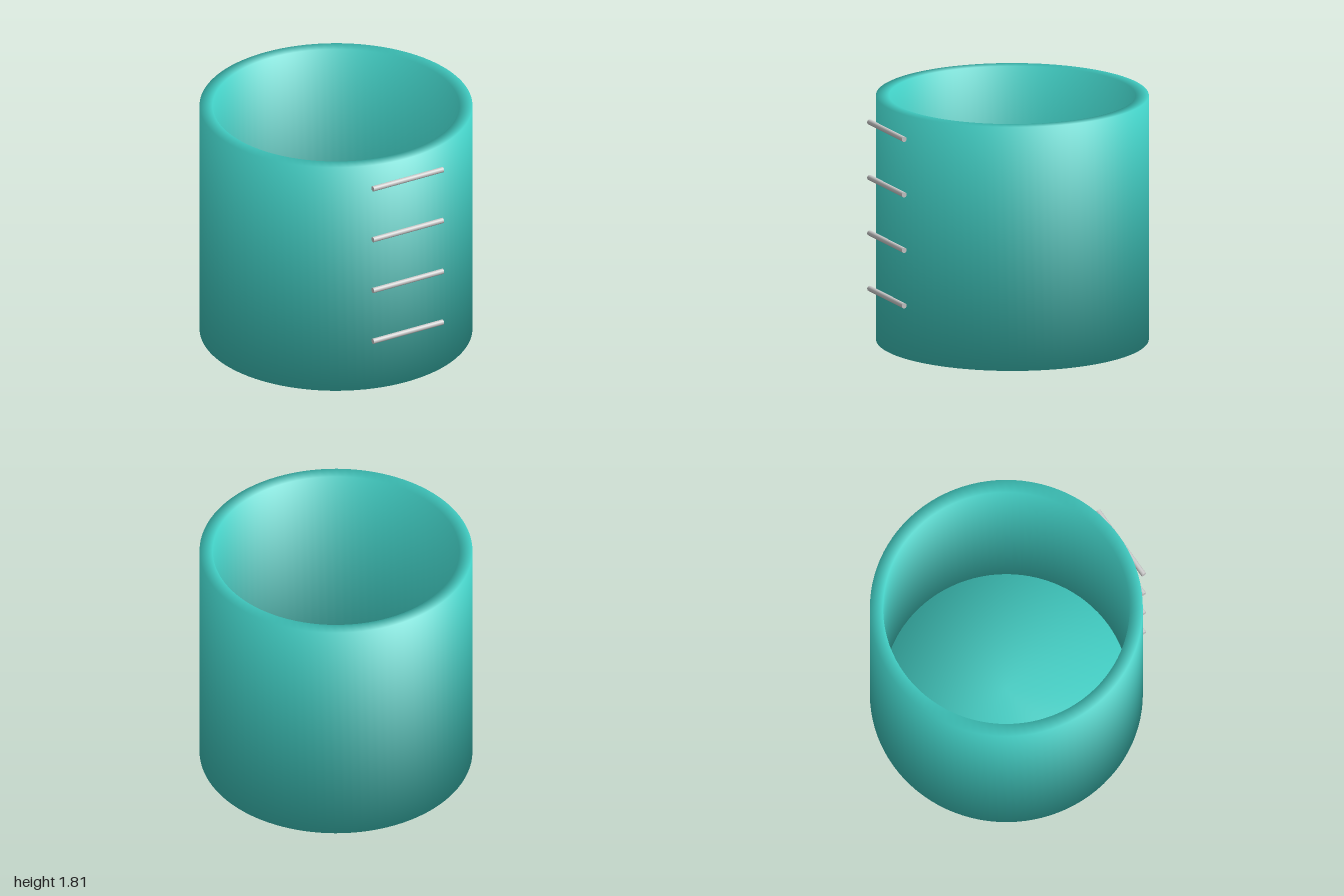
import * as THREE from 'three';

const TEAL = new THREE.MeshStandardMaterial({ color: 0x40ccc2 });
const GREY = new THREE.MeshStandardMaterial({ color: 0xcccccc });
const CENTER_Z = -0.016;

// Revolves [radius, y, normalRadial, normalY] rows; normals blend softly across the corners.
function softLathe(name, rows) {
  const geometry = new THREE.LatheGeometry(rows.map(([r, y]) => new THREE.Vector2(r, y)), 96);
  const normal = geometry.attributes.normal;
  for (let i = 0; i < normal.count; i++) {
    const [, , nr, ny] = rows[i % rows.length];
    const angle = (Math.floor(i / rows.length) / 96) * Math.PI * 2;
    const n = new THREE.Vector3(nr * Math.sin(angle), ny, nr * Math.cos(angle)).normalize();
    normal.setXYZ(i, n.x, n.y, n.z);
  }
  const mesh = new THREE.Mesh(geometry, TEAL);
  mesh.name = name;
  mesh.position.z = CENTER_Z;
  return mesh;
}

export function createModel() {
  const model = new THREE.Group();
  model.name = 'measuringCup';

  // Thick-walled open tube
  const outer = 0.983, inner = 0.888, height = 1.806;
  model.add(softLathe('cupWall', [
    [outer, 0, 1, -1],
    [outer, height, 1, 1],
    [inner, height, -1, 1],
    [inner, 0, -1, -1],
    [outer, 0, 1, -1],
  ]));

  // Solid floor plate set into the bottom of the tube
  model.add(softLathe('cupFloor', [
    [0, 0.008, 0, -1],
    [0.965, 0.008, 1, -1],
    [0.965, 0.082, 1, 1],
    [0, 0.082, 0, 1],
  ]));

  // Four straight measuring marks up the front
  const marks = new THREE.Group();
  marks.name = 'measuringMarks';
  const rod = new THREE.CylinderGeometry(0.0197, 0.0197, 0.59, 24).rotateZ(Math.PI / 2);
  for (let i = 1; i <= 4; i++) {
    const mark = new THREE.Mesh(rod, GREY);
    mark.name = 'measuringMark' + i;
    mark.position.set(0, 0.411 * i, 0.98);
    marks.add(mark);
  }
  model.add(marks);

  return model;
}
